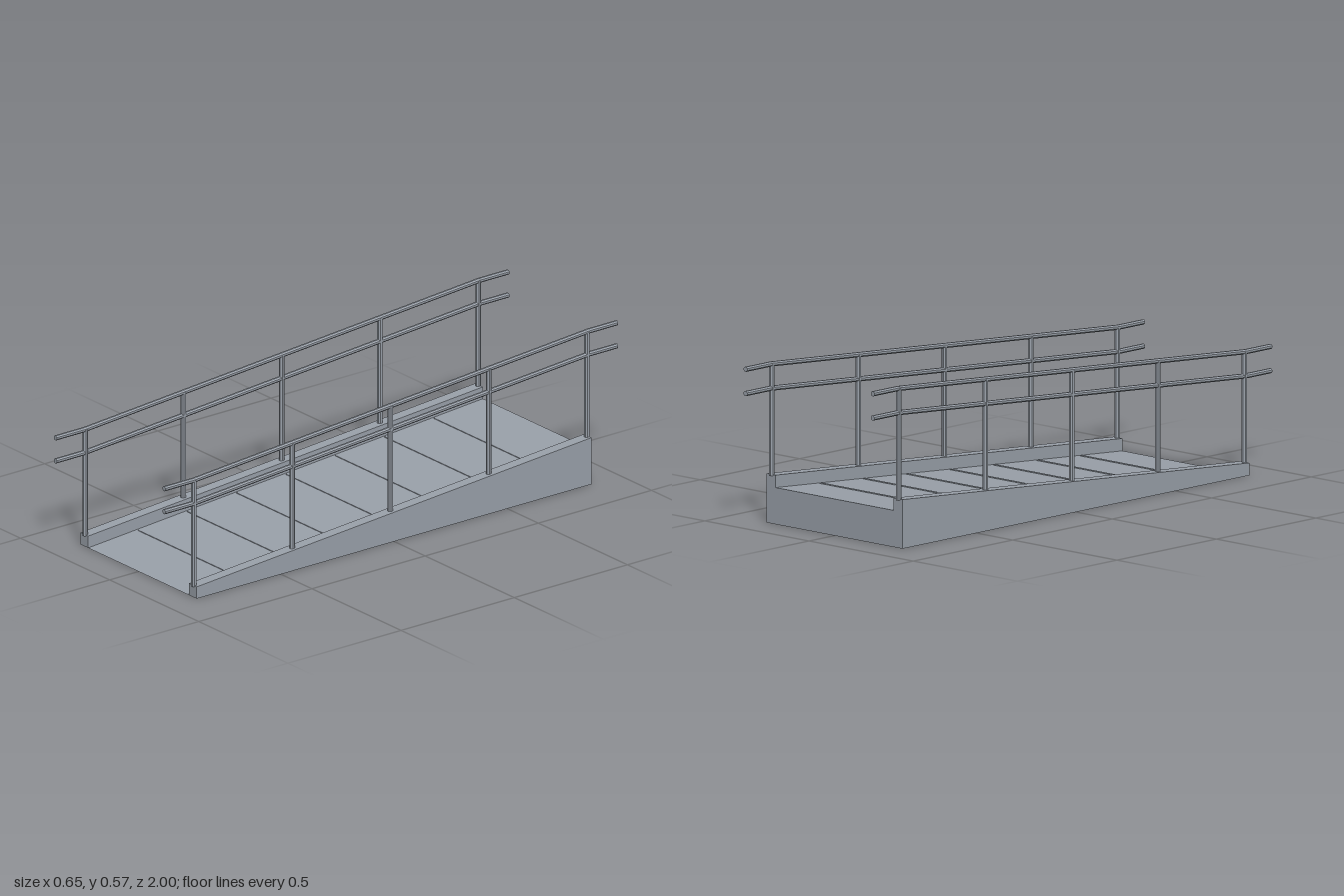
import * as THREE from 'three';

const HALF = 0.872;        // half length of the ramp
const RISE = 0.13;         // height gained from front to back
const CURB = 0.044;        // curb height above the deck
const RAIL_X = 0.305;

// deck height at a given z
const deckY = (z) => RISE * (HALF - z) / (2 * HALF);

export function createModel() {
  const model = new THREE.Group();
  model.name = 'accessRamp';
  const steel = new THREE.MeshStandardMaterial({ name: 'greySteel', color: 0x9aa1aa, flatShading: true });

  const add = (geometry, name, parent = model) => {
    const mesh = new THREE.Mesh(geometry, steel);
    mesh.name = name;
    parent.add(mesh);
    return mesh;
  };

  // side profile swept across x from x0 to x1
  const wedge = (x0, x1, lift) => {
    const profile = [[-HALF, 0], [HALF, 0], [HALF, RISE + lift]];
    if (lift > 0) profile.push([-HALF, lift]);
    const shape = new THREE.Shape(profile.map(([x, y]) => new THREE.Vector2(x, y)));
    const geometry = new THREE.ExtrudeGeometry(shape, { depth: x1 - x0, bevelEnabled: false });
    return geometry.rotateY(Math.PI / 2).translate(x0, 0, 0);
  };

  // octagonal bar between two points
  const bar = (a, b, radius, name, parent) => {
    const span = new THREE.Vector3().subVectors(b, a);
    const geometry = new THREE.CylinderGeometry(radius, radius, span.length(), 8).rotateY(Math.PI / 8);
    const mesh = add(geometry, name, parent);
    mesh.position.addVectors(a, b).multiplyScalar(0.5);
    mesh.quaternion.setFromUnitVectors(new THREE.Vector3(0, 1, 0), span.normalize());
  };

  // sloping deck
  add(wedge(-0.283, 0.283, 0), 'deck');

  // thin grip strips across the deck
  for (let i = 1; i < 8; i++) {
    const z = HALF - i * HALF / 4;
    const strip = add(new THREE.BoxGeometry(0.548, 0.004, 0.012), 'gripStrip');
    strip.position.set(0, deckY(z), z);
  }

  // curb, posts and two handrails on each side
  for (const side of [-1, 1]) {
    const group = new THREE.Group();
    group.name = side > 0 ? 'leftSide' : 'rightSide';
    model.add(group);

    const inner = side * 0.283, outer = side * 0.326;
    add(wedge(Math.min(inner, outer), Math.max(inner, outer), CURB), 'curb', group);

    const x = side * RAIL_X;
    for (let i = 0; i < 5; i++) {
      const z = 0.868 * (1 - i / 2);
      const base = deckY(z) + CURB;
      bar(new THREE.Vector3(x, base - 0.005, z), new THREE.Vector3(x, base + 0.391, z), 0.0102, 'post', group);
    }

    for (const [name, height] of [['topRail', 0.435], ['lowerRail', 0.349]]) {
      const points = [[height, 1], [height, HALF], [height + RISE, -HALF], [height + RISE, -1]]
        .map(([y, z]) => new THREE.Vector3(x, y, z));
      for (let i = 0; i < 3; i++) bar(points[i], points[i + 1], 0.0092, name, group);
    }
  }
  return model;
}
